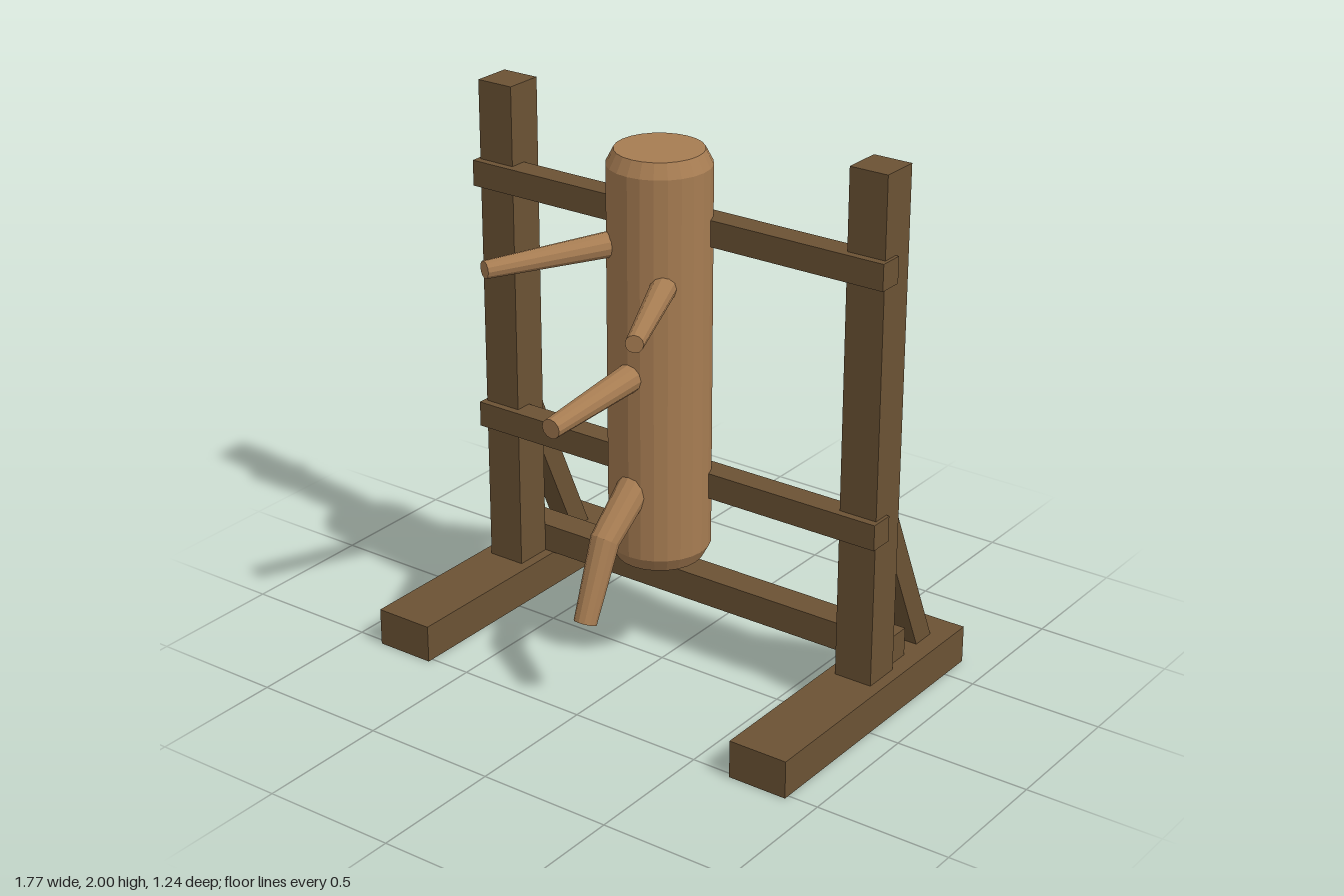
import * as THREE from 'three';

const frameWood = new THREE.MeshStandardMaterial({ color: 0x6b5234, flatShading: true });
frameWood.name = 'darkFrameWood';
const bodyWood = new THREE.MeshStandardMaterial({ color: 0xa67c52, flatShading: true });
bodyWood.name = 'lightBodyWood';

function add(parent, name, geometry, material) {
  const mesh = new THREE.Mesh(geometry, material);
  mesh.name = name;
  parent.add(mesh);
  return mesh;
}

// Box given by its limits on each axis
function block(parent, name, [x0, x1], [y0, y1], [z0, z1]) {
  const mesh = add(parent, name, new THREE.BoxGeometry(x1 - x0, y1 - y0, z1 - z0), frameWood);
  mesh.position.set((x0 + x1) / 2, (y0 + y1) / 2, (z0 + z1) / 2);
}

// Tapered round limb through a list of points, mitred at the bends
function limb(parent, name, points, radii) {
  const n = points.length - 1;
  const pts = points.map((p) => new THREE.Vector3(...p));
  const geo = new THREE.CylinderGeometry(1, 1, n, 12, n);
  const pos = geo.attributes.position;
  const dirs = pts.slice(1).map((p, i) => p.clone().sub(pts[i]).normalize());
  const rings = pts.map((p, i) => {
    const before = dirs[Math.max(i - 1, 0)], after = dirs[Math.min(i, n - 1)];
    const along = before.clone().add(after).normalize();
    const side = new THREE.Vector3(0, 1, 0).cross(along).normalize();
    return { p, side, up: along.clone().cross(side), r: radii[i], stretch: 1 / along.dot(after) };
  });
  for (let i = 0; i < pos.count; i++) {
    const ring = rings[Math.round(pos.getY(i) + n / 2)];
    const v = ring.p.clone()
      .addScaledVector(ring.side, pos.getZ(i) * ring.r)
      .addScaledVector(ring.up, pos.getX(i) * ring.r * ring.stretch);
    pos.setXYZ(i, v.x, v.y, v.z);
  }
  geo.computeVertexNormals();
  add(parent, name, geo, bodyWood);
}

export function createModel() {
  const model = new THREE.Group();
  model.name = 'woodenTrainingDummy';

  // Side frames: foot, post, slanted brace and pegs
  const braceShape = new THREE.Shape([[0.205, 0.815], [0.205, 0.6], [0.41, 0.14], [0.505, 0.14]]
    .map(([back, y]) => new THREE.Vector2(back, y)));
  for (const s of [-1, 1]) {
    const side = new THREE.Group();
    side.name = s > 0 ? 'leftFrame' : 'rightFrame';
    model.add(side);
    const span = (a, b) => (s > 0 ? [a, b] : [-b, -a]);
    block(side, 'foot', span(0.66, 0.885), [0, 0.14], [-0.62, 0.52]);
    block(side, 'post', span(0.698, 0.843), [0.14, 2], [-0.207, -0.063]);

    const braceGeo = new THREE.ExtrudeGeometry(braceShape, { depth: 0.09, bevelEnabled: false });
    braceGeo.translate(0, 0, -0.045).rotateY(Math.PI / 2);
    add(side, 'brace', braceGeo, frameWood).position.x = s * 0.77;

    for (const y of [0.725, 1.66]) {
      const peg = add(side, 'peg', new THREE.CylinderGeometry(0.029, 0.029, 0.1, 12), frameWood);
      peg.rotation.x = Math.PI / 2;
      peg.position.set(s * 0.77, y, -0.18);
    }
  }

  // Cross members
  block(model, 'upperRail', [-0.855, 0.855], [1.613, 1.708], [-0.127, -0.035]);
  block(model, 'lowerRail', [-0.855, 0.855], [0.677, 0.772], [-0.127, -0.035]);
  block(model, 'baseBeam', [-0.82, 0.82], [0.14, 0.247], [-0.32, -0.207]);

  // Trunk with chamfered ends
  const profile = [[0, 0.44], [0.155, 0.44], [0.182, 0.49], [0.182, 1.89], [0.155, 1.942], [0, 1.942]]
    .map(([r, y]) => new THREE.Vector2(r, y));
  add(model, 'trunk', new THREE.LatheGeometry(profile, 24), bodyWood).position.z = 0.014;

  // Arms and bent leg
  limb(model, 'upperRightArm', [[-0.042, 1.617, 0], [-0.307, 1.61, 0.567]], [0.05, 0.031]);
  limb(model, 'upperLeftArm', [[0.042, 1.506, 0], [0.307, 1.499, 0.567]], [0.05, 0.031]);
  limb(model, 'middleArm', [[0, 1.182, 0], [0, 1.137, 0.617]], [0.057, 0.036]);
  limb(model, 'leg', [[0, 0.83, 0.06], [0, 0.61, 0.332], [0, 0.34, 0.447]], [0.064, 0.052, 0.041]);

  return model;
}
